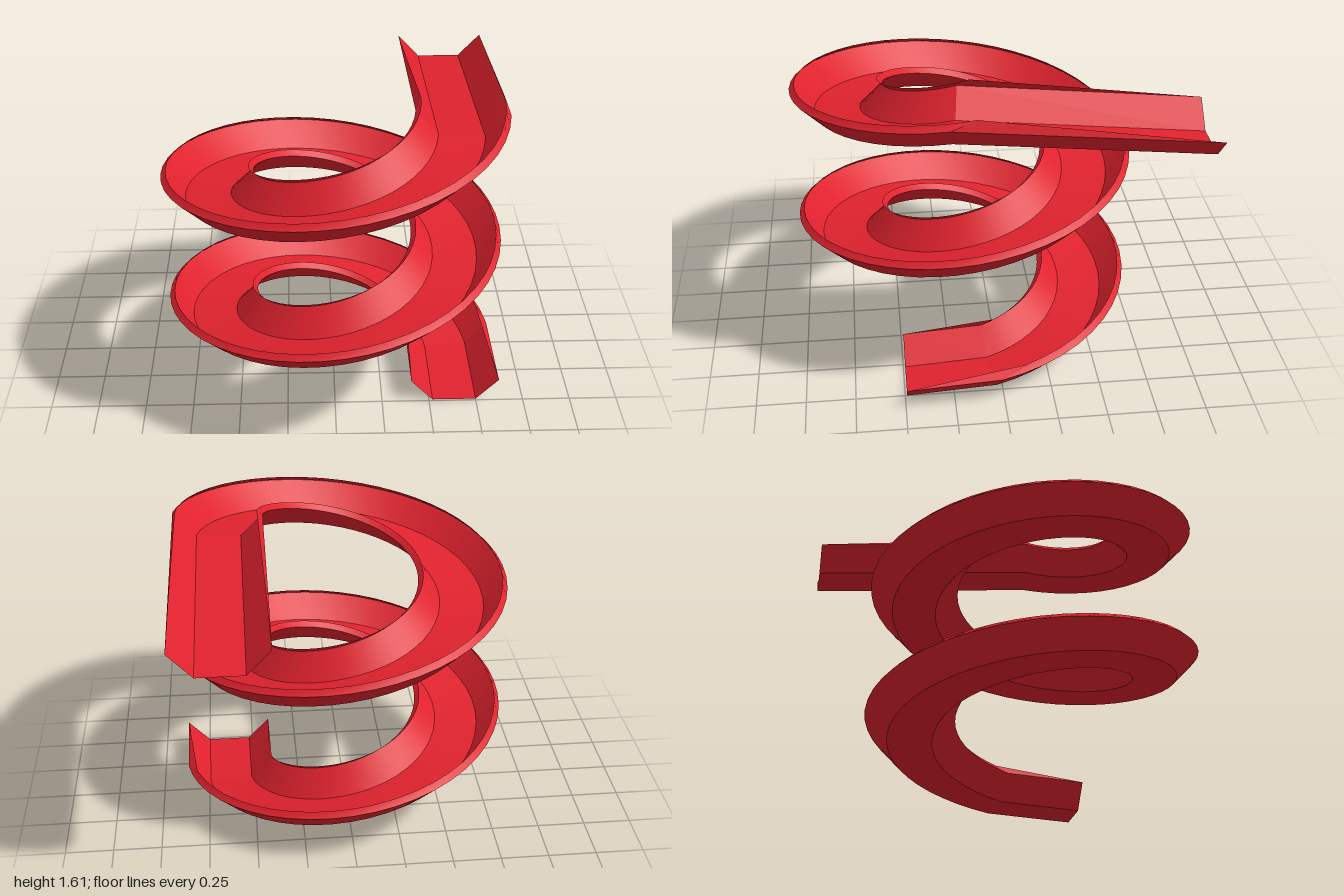
import * as THREE from 'three';

const CENTRE_Z = 0.133;
const PITCH = 0.725;
const START = 8, END = 712; // degrees of the spiral
const LIP_LEAD = 8;         // the lips run this far ahead of the trough

// Thin trough section as [radius, height]: lip, wall, floor, wall, lip.
const SECTION = [
  [0.43, 0.152], [0.403, 0.125], [0.52, 0], [0.75, 0], [0.867, 0.125], [0.84, 0.152],
];
const LAST = SECTION.length - 1;
// At the open ends the lips shrink into the rims.
const END_SECTION = [1, 1, 2, 3, 4, 4].map((i) => SECTION[i]);

// Section turned about the spiral's axis, climbing with the angle
function spiralRing(degrees) {
  return SECTION.map(([r, h], i) => {
    const d = i === 0 || i === LAST ? degrees + LIP_LEAD : degrees;
    const a = THREE.MathUtils.degToRad(d);
    const floor = 0.19 + (PITCH * (d - 90)) / 360;
    return new THREE.Vector3(r * Math.cos(a), floor + h, CENTRE_Z - r * Math.sin(a));
  });
}

// Section standing square at the open end of a straight run
const endRing = (y, z) => END_SECTION.map(([r, h]) => new THREE.Vector3(r, y + h, z));

// Skin a list of rings; each side is its own strip so long edges stay sharp.
function skin(rings) {
  const positions = [], index = [];
  for (let side = 0; side < LAST; side++) {
    const base = positions.length / 3;
    rings.forEach((ring, k) => {
      positions.push(...ring[side].toArray(), ...ring[side + 1].toArray());
      if (k === 0) return;
      const a0 = base + 2 * (k - 1), b0 = a0 + 1, a1 = a0 + 2, b1 = a0 + 3;
      index.push(a0, b1, a1, a0, b0, b1);
    });
  }
  const geometry = new THREE.BufferGeometry();
  geometry.setAttribute('position', new THREE.Float32BufferAttribute(positions, 3));
  geometry.setIndex(index);
  geometry.computeVertexNormals();
  return geometry;
}

export function createModel() {
  const red = new THREE.MeshStandardMaterial({ color: 0xe0222e, side: THREE.DoubleSide });
  red.name = 'slide red';
  const group = new THREE.Group();
  group.name = 'spiralSlide';

  const add = (name, rings) => {
    const mesh = new THREE.Mesh(skin(rings), red);
    mesh.name = name;
    group.add(mesh);
  };

  // Two turns of the spiral trough
  const spiral = [];
  const steps = 96;
  for (let i = 0; i <= steps; i++) spiral.push(spiralRing(START + ((END - START) * i) / steps));
  add('spiralChute', spiral);

  // Short straight run at the bottom, facing the front
  add('lowerChute', [endRing(0, 0.49), spiral[0]]);

  // Long straight run at the top, sloping down to the back
  add('upperChute', [spiral[steps], endRing(1.322, -1)]);

  return group;
}
